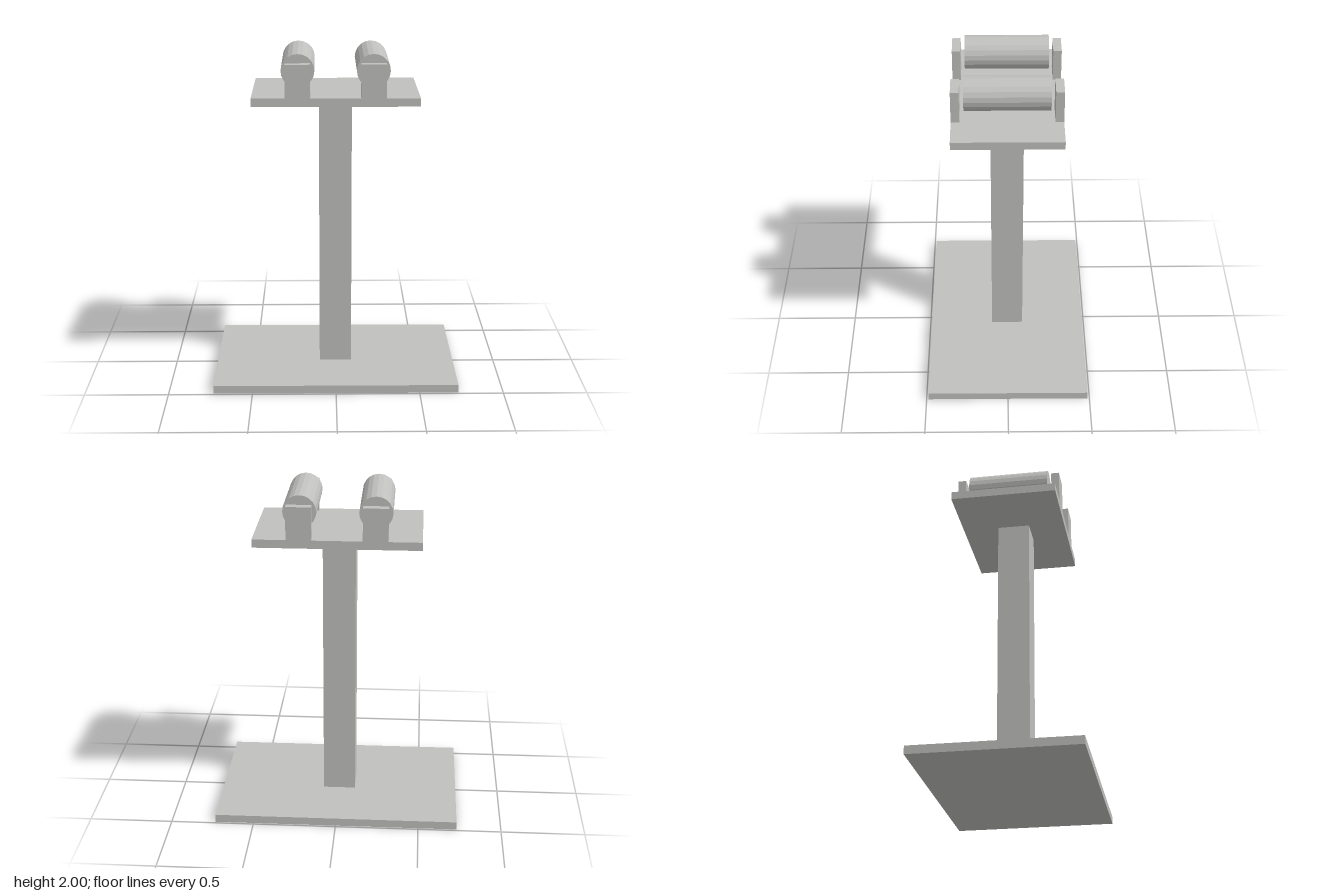
import * as THREE from 'three';

// One design unit; the stand is 41 units tall
const U = 2 / 41;

export function createModel() {
  const group = new THREE.Group();
  group.name = 'rollerStand';
  const grey = new THREE.MeshStandardMaterial({ color: 0xc0c0be });
  grey.name = 'light grey';
  grey.flatShading = true;

  const add = (name, geometry, x, y, z) => {
    const mesh = new THREE.Mesh(geometry, grey);
    mesh.name = name;
    mesh.position.set(x * U, y * U, z * U);
    group.add(mesh);
  };
  // Box sized in units, resting at the given bottom height
  const box = (name, w, h, d, x, bottom, z) =>
    add(name, new THREE.BoxGeometry(w * U, h * U, d * U), x, bottom + h / 2, z);

  // Base, post and top plate
  box('basePlate', 30, 1, 20, 0, 0, 0);
  box('post', 4, 34, 4, 0, 1, 0);
  box('topPlate', 20, 1, 13, 0, 35, 0);

  // Two rollers, each between a front and a back bracket
  const roller = new THREE.CylinderGeometry(2 * U, 2 * U, 10 * U, 20).rotateX(Math.PI / 2);
  for (const [side, sx] of [['left', 1], ['right', -1]]) {
    add(side + 'Roller', roller, sx * 4.5, 39, 0);
    for (const [end, sz] of [['Front', 1], ['Back', -1]]) {
      box(side + end + 'Bracket', 3, 4, 1, sx * 4.5, 36, sz * 6);
    }
  }
  return group;
}
